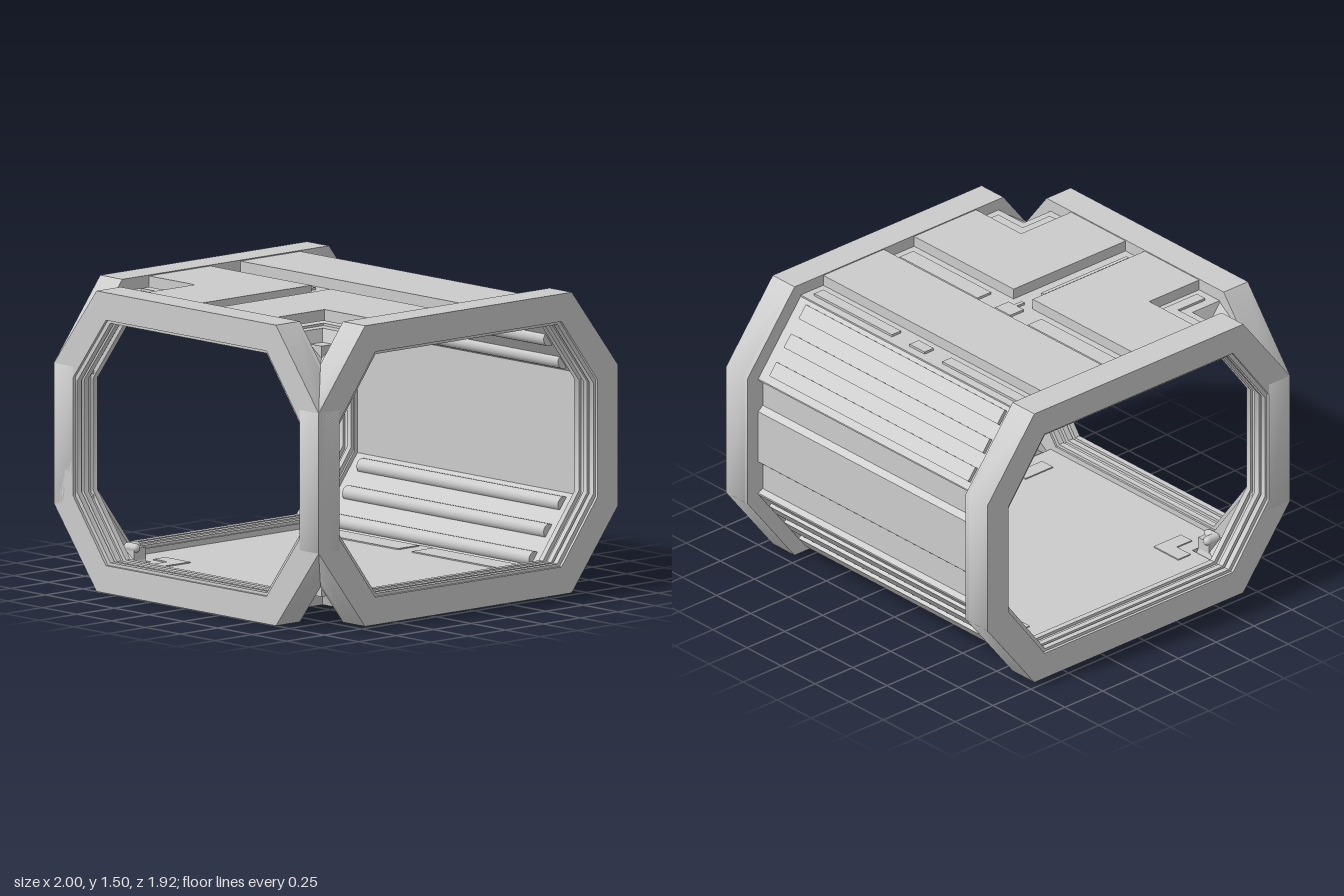
import * as THREE from 'three';
import { toCreasedNormals } from 'three/addons/utils/BufferGeometryUtils.js';

const mat = new THREE.MeshStandardMaterial({ color: 0xcccccc });
const thin = new THREE.MeshStandardMaterial({ color: 0xcccccc, side: THREE.DoubleSide });
const MID = 0.75; // height about which upper and lower parts mirror

function add(parent, name, geo, material = mat) {
  const mesh = new THREE.Mesh(geo, material);
  mesh.name = name;
  parent.add(mesh);
  return mesh;
}

const toShape = (pts) => new THREE.Shape(pts.map(([x, y]) => new THREE.Vector2(x, y)));
const extrude = (shape, depth) => new THREE.ExtrudeGeometry(shape, { depth, bevelEnabled: false });

// box given by its x, y and z ranges
function block(parent, name, x0, x1, y0, y1, z0, z1) {
  const m = add(parent, name, new THREE.BoxGeometry(x1 - x0, y1 - y0, z1 - z0));
  m.position.set((x0 + x1) / 2, (y0 + y1) / 2, (z0 + z1) / 2);
  return m;
}

// horizontal plate from an outline in x and z
function plate(parent, name, pts, y0, y1) {
  const geo = extrude(toShape(pts.map(([x, z]) => [x, -z])), y1 - y0);
  geo.rotateX(-Math.PI / 2);
  geo.translate(0, y0, 0);
  return add(parent, name, geo);
}

// octagonal outline, half width w, height range, corner cut cx by cy
function octagon(w, y0, y1, cx, cy) {
  return [[-w + cx, y0], [w - cx, y0], [w, y0 + cy], [w, y1 - cy],
    [w - cx, y1], [-w + cx, y1], [-w, y1 - cy], [-w, y0 + cy]];
}

// octagonal ring, softly shaded where the chamfers meet the posts
function octagonRing(outer, hole, depth) {
  const s = toShape(outer);
  s.holes.push(toShape(hole));
  return toCreasedNormals(extrude(s, depth), 0.8);
}

// doorway frame with stepped inner lips, outer face at local z = 0.16;
// each rim lists the octagon corners along which the frame is thicker on the inside
function doorway(name, w, rims) {
  const g = new THREE.Group();
  g.name = name;
  const opening = (d) => octagon(w - d, d, 1.5 - d, 0.24, 0.32);
  const outer = octagon(w, 0, 1.5, 0.31, 0.4);
  const hole = opening(0.138);
  add(g, 'frameRing', octagonRing(outer, hole, 0.14)).position.z = 0.02;
  for (const rim of rims) {
    const pts = [...rim.map((i) => outer[i]), ...rim.map((i) => hole[i]).reverse()];
    add(g, 'innerRim', toCreasedNormals(extrude(toShape(pts), 0.02), 0.8));
  }
  for (const z of [0.01, 0.07, 0.115]) {
    add(g, 'innerLip', octagonRing(opening(0.125), opening(0.153), 0.03)).position.z = z;
  }
  return g;
}

function sideWall() {
  const g = new THREE.Group();
  g.name = 'sideWall';
  const half = [[0.65, 1.432], [0.93, 1.073], [0.93, 1.065], [0.9, 1.05], [0.9, 0.915], [0.93, 0.89]];
  const flip = ([x, y]) => [x, 2 * MID - y];
  const inner = [[0.615, 1.4], [0.88, 1.055]];
  const outline = [...half, ...half.map(flip).reverse(), ...inner.map(flip), ...inner.slice().reverse()];
  add(g, 'wallShell', extrude(toShape(outline), 1.62)).position.z = -0.81;
  // slats outside and rods inside, on the upper and lower slopes
  const tilt = Math.atan2(0.359, 0.28);
  for (const s of [1, -1]) {
    for (const dy of [0.634, 0.508, 0.384]) {
      const x = 0.65 + (0.684 - dy) * 0.775;
      const slat = add(g, 'slat', new THREE.BoxGeometry(0.078, 0.036, 1.46));
      slat.position.set(x, MID + s * dy, 0);
      slat.rotation.z = -s * tilt;
      const rod = add(g, 'innerRod', new THREE.CylinderGeometry(0.037, 0.037, 1.46, 20));
      rod.geometry.rotateX(Math.PI / 2);
      rod.position.set(x - 0.036, MID + s * (dy - 0.028), 0);
    }
  }
  return g;
}

function roof() {
  const g = new THREE.Group();
  g.name = 'roof';
  const lo = 1.38, base = 1.44, top = 1.495, chip = 1.452;
  // sunken channels, showing as beams under the ceiling
  block(g, 'crossChannel', -0.1, 0.1, lo, base, -0.82, 0.82);
  block(g, 'edgeChannel', 0.5, 0.65, lo, base, -0.82, 0.82);
  block(g, 'spineChannel', -0.86, -0.1, lo, base, -0.07, 0.07);
  // raised panels
  block(g, 'longPanel', 0.1, 0.5, 1.435, top, -0.82, 0.82);
  block(g, 'spineRib', -0.79, -0.23, base, chip, -0.01, 0.01);
  block(g, 'spineTab', -0.1, -0.05, base, chip, -0.01, 0.01);
  for (const [x0, x1] of [[-0.05, 0.04], [0.545, 0.605]]) {
    block(g, 'channelChip', x0, x1, base, chip, -0.06, 0.05);
    block(g, 'channelBar', x0, x1, base, chip, 0.18, 0.75);
    block(g, 'channelBar', x0, x1, base, chip, -0.75, -0.19);
  }
  for (const s of [1, -1]) {
    const m = (pts) => pts.map(([x, z]) => [x, z * s]);
    plate(g, 'cornerPanel', m([[-0.86, 0.07], [-0.1, 0.07], [-0.1, 0.82], [-0.51, 0.82],
      [-0.51, 0.47], [-0.86, 0.47]]), 1.435, top);
    plate(g, 'cornerChannel', m([[-0.86, 0.47], [-0.51, 0.47], [-0.51, 0.82], [-0.66, 0.82],
      [-0.66, 0.62], [-0.86, 0.62]]), lo, base);
    plate(g, 'cornerBracket', m([[-0.79, 0.51], [-0.555, 0.51], [-0.555, 0.75], [-0.61, 0.75],
      [-0.61, 0.57], [-0.79, 0.57]]), base, chip);
  }
  return g;
}

function floor() {
  const g = new THREE.Group();
  g.name = 'floor';
  plate(g, 'floorSlab', [[0.65, -0.82], [0.65, 0.82], [-0.66, 0.82], [-0.66, 0.62], [-0.86, 0.62],
    [-0.86, -0.62], [-0.66, -0.62], [-0.66, -0.82]], 0.07, 0.11);
  const bracket = (name, x0, x1, z0, z1, w, y0, y1, s) => plate(g, name, [[x0, z0], [x1, z0], [x1, z1],
    [x1 - w, z1], [x1 - w, z0 + w], [x0, z0 + w]].map(([x, z]) => [x, z * s]), y0, y1);
  for (const s of [1, -1]) {
    const [z0, z1] = s > 0 ? [0.05, 0.67] : [-0.67, -0.05];
    block(g, 'floorInlay', 0.46, 0.6, 0.064, 0.116, z0, z1);
    bracket('undersideBracket', -0.79, -0.54, 0.47, 0.72, 0.09, 0.064, 0.1, s);
    bracket('floorBracket', -0.72, -0.54, 0.47, 0.65, 0.08, 0.1, 0.116, s);
  }
  return g;
}

// pocket between two doorways: sloped faces, a socket and a pair of knobs
function cornerPocket(sy, sz) {
  const g = new THREE.Group();
  g.name = 'cornerPocket';
  const p = (x, y, z) => [x, MID + sy * (y - MID), z * sz];
  const S = p(-0.84, 1.306, 0.8), P = p(-0.66, 1.44, 0.81), R = p(-0.66, 1.44, 0.62),
    T = p(-0.85, 1.44, 0.62), Q = p(-0.7, 1.32, 0.66);
  const geo = new THREE.BufferGeometry();
  geo.setAttribute('position', new THREE.Float32BufferAttribute(
    [S, P, Q, P, R, Q, R, T, Q, T, S, Q].flat(), 3));
  geo.computeVertexNormals();
  add(g, 'pocketFaces', geo, thin);
  const socket = add(g, 'socket', new THREE.BoxGeometry(0.08, 0.06, 0.08));
  socket.position.set(...p(-0.72, 1.345, 0.68));
  for (const [x, z, turn] of [[-0.715, 0.7, 0], [-0.74, 0.675, Math.PI / 2]]) {
    const knob = add(g, 'knob', new THREE.CapsuleGeometry(0.024, 0.05, 4, 10));
    knob.geometry.rotateZ(Math.PI / 2);
    knob.rotation.y = turn;
    knob.position.set(...p(x, 1.315, z));
  }
  return g;
}

export function createModel() {
  const model = new THREE.Group();
  model.name = 'corridorJunction';

  // the rims leave out the posts shared by two doorways
  const front = doorway('frontDoorway', 1, [[7, 0, 1, 2, 3, 4, 5, 6]]);
  front.position.z = 0.8;
  const back = doorway('backDoorway', 1, [[3, 4, 5, 6, 7, 0, 1, 2]]);
  back.position.z = -0.8;
  back.rotation.y = Math.PI;
  const side = doorway('sideDoorway', 0.96, [[3, 4, 5, 6], [7, 0, 1, 2]]);
  side.position.x = -0.84;
  side.rotation.y = -Math.PI / 2;
  model.add(front, back, side, sideWall(), roof(), floor());

  for (const sy of [1, -1]) for (const sz of [1, -1]) model.add(cornerPocket(sy, sz));
  return model;
}
